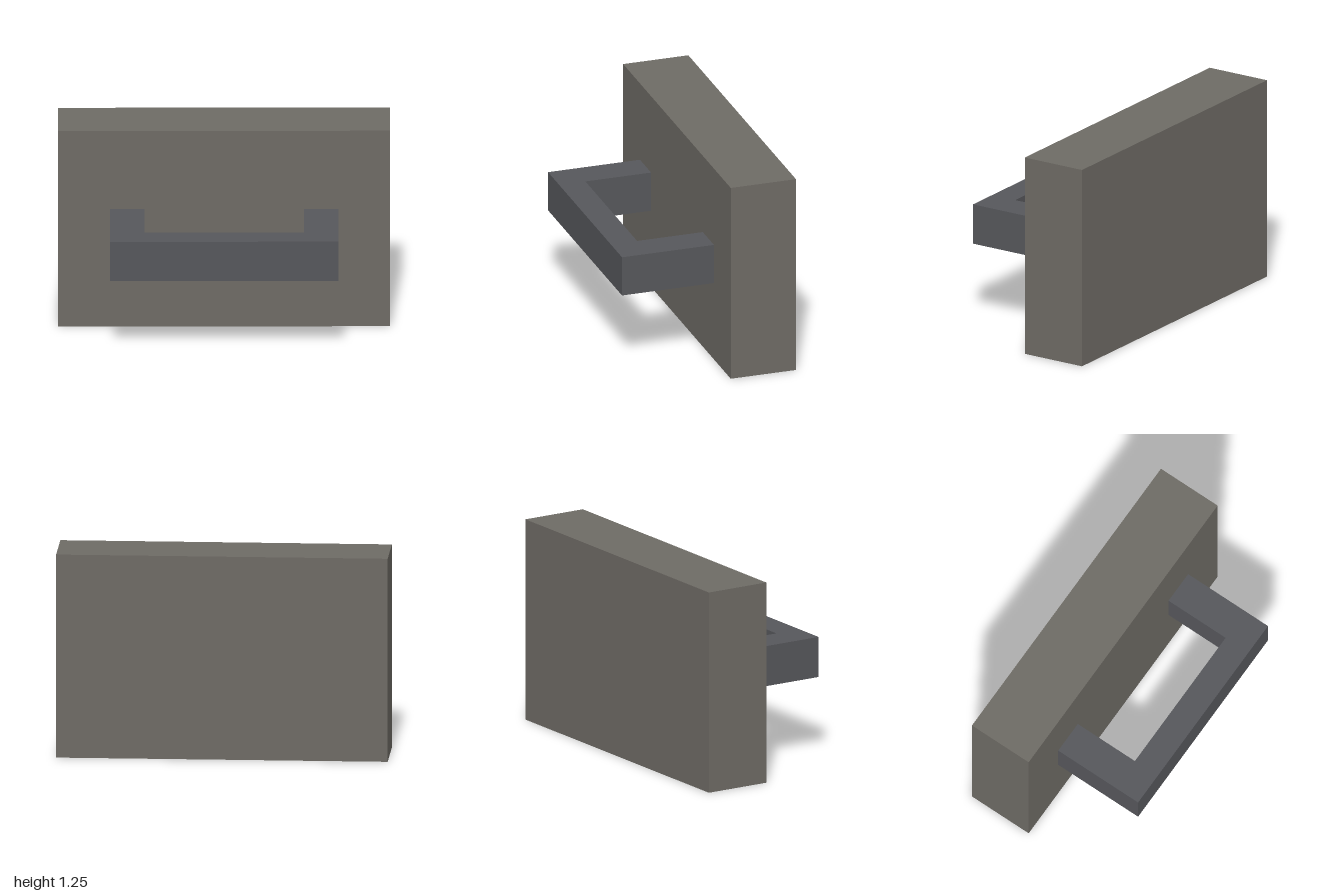
import * as THREE from 'three';

export function createModel() {
  const group = new THREE.Group();

  // Thick upright panel at the back
  const panel = new THREE.Mesh(
    new THREE.BoxGeometry(2, 1.25, 0.415),
    new THREE.MeshStandardMaterial({ color: 0x6e6b65 })
  );
  panel.name = 'panel';
  panel.position.set(0, 0.625, -0.2925);
  group.add(panel);

  // U-shaped handle: plan outline (shape y = -z) extruded upwards
  const outer = 0.6875, inner = 0.48, root = 0.085, grip = -0.333, front = -0.5;
  const outline = new THREE.Shape([
    [-outer, root], [-outer, front], [outer, front], [outer, root],
    [inner, root], [inner, grip], [-inner, grip], [-inner, root],
  ].map(([x, y]) => new THREE.Vector2(x, y)));
  const handleGeometry = new THREE.ExtrudeGeometry(outline, { depth: 0.25, bevelEnabled: false });
  handleGeometry.rotateX(-Math.PI / 2);
  const handle = new THREE.Mesh(
    handleGeometry,
    new THREE.MeshStandardMaterial({ color: 0x56575b })
  );
  handle.name = 'handle';
  handle.position.y = 0.5;
  group.add(handle);

  return group;
}
